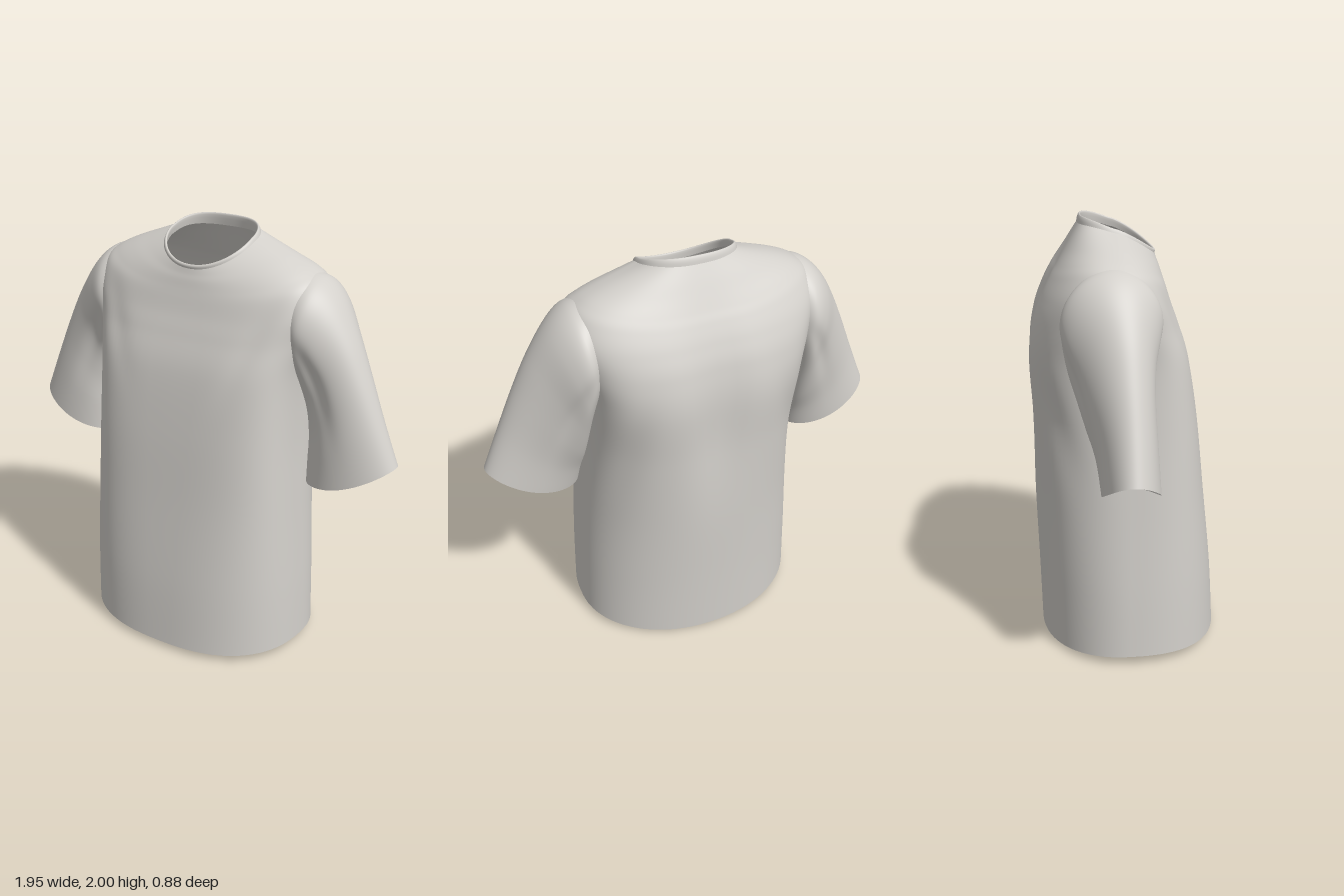
import * as THREE from 'three';

// Smooth interpolation through rows of cross-section numbers
function sampleRows(rows, steps) {
  const out = [];
  const last = rows.length - 1;
  for (let i = 0; i < last; i++) {
    const a = rows[Math.max(i - 1, 0)], b = rows[i], c = rows[i + 1], d = rows[Math.min(i + 2, last)];
    for (let k = 0; k < steps || (i === last - 1 && k === steps); k++) {
      const t = k / steps;
      out.push(b.map((_, j) => 0.5 * (2 * b[j] + (c[j] - a[j]) * t
        + (2 * a[j] - 5 * b[j] + 4 * c[j] - d[j]) * t * t
        + (3 * b[j] - a[j] - 3 * c[j] + d[j]) * t * t * t)));
    }
  }
  return out;
}

// Skin a stack of closed rings, leaving out faces that start inside a hole
function loft(rows, pointAt, { flip = false, isHole = () => false } = {}) {
  const columns = 96, pos = [], index = [];
  rows.forEach((row, j) => {
    for (let i = 0; i < columns; i++) {
      const point = pointAt(row, (i / columns) * Math.PI * 2, j / (rows.length - 1));
      pos.push(...point);
      if (j === rows.length - 1 || isHole(point)) continue;
      const p = j * columns + i, q = j * columns + (i + 1) % columns;
      const u = p + columns, v = q + columns;
      if (flip) index.push(p, q, u, q, v, u);
      else index.push(p, u, q, q, u, v);
    }
  });
  const geo = new THREE.BufferGeometry();
  geo.setAttribute('position', new THREE.Float32BufferAttribute(pos, 3));
  geo.setIndex(index);
  geo.computeVertexNormals();
  return geo;
}

const bump = (v, centre, width) => Math.exp(-(((v - centre) / width) ** 2));
const power = (v, e) => Math.sign(v) * Math.abs(v) ** e;

// Ring round the trunk: half width, side y, front y, front z, back y, back z, side z,
// squareness of the front and of the back
function trunkPoint([w, yS, yF, zF, yB, zB, zS, nF, nB], a) {
  const s = Math.sin(a), e = 2 / (s > 0 ? nF : nB);
  const x = w * power(Math.cos(a), e);
  const y = yS + ((yF - yB) / 2) * s + ((yF + yB) / 2 - yS) * s * s;
  const z = zS + power(s, e) * (s > 0 ? zF - zS : zS - zB);
  return [x, y, z];
}

function bodyPoint(row, a) {
  const p = trunkPoint(row, a);
  const [x, y] = p, s = Math.sin(a);
  if (s < 0) {
    // groove down the spine and slanting drape folds below the arms
    p[2] += 0.035 * bump(x, 0, 0.12) * bump(y, 1.35, 0.4);
    const slant = Math.abs(x) - 0.42 + (y - 1.1) * 0.25;
    p[2] += 0.025 * bump(slant, 0, 0.07) * bump(y, 1.05, 0.3) * -s;
  } else {
    // soft pull from the chest to the arm
    const slant = Math.abs(x) - 0.38 - (y - 1.6) * 0.4;
    p[2] -= 0.01 * bump(slant, 0, 0.06) * bump(y, 1.55, 0.2) * s;
  }
  return p;
}

// Opening in the body wall inside each sleeve
const isArmhole = ([x, y, z]) => Math.abs(x) > 0.4
  && ((y - 1.57) / 0.14) ** 2 + ((z + 0.06) / 0.13) ** 2 < 1;

// Sleeve ring: outer x, y, inner x, y, centre z, half depth, sag of the front and back,
// backward lean of the inner edge
function sleevePoint(side) {
  return ([ox, oy, ix, iy, cz, dz, sag, lean], a, t) => {
    const c = Math.cos(a), s = Math.sin(a);
    const m = (1 + c) / 2;
    // long folds running from the armpit to the cuff
    const fold = 0.015 * bump(c, -0.25 + t * 0.3, 0.22) * bump(t, 0.45, 0.25);
    return [
      side * (ix + (ox - ix) * m),
      iy + (oy - iy) * m - sag * s * s,
      cz - lean * (1 - m) + s * (dz - fold),
    ];
  };
}

export function createModel() {
  const group = new THREE.Group();
  const cloth = new THREE.MeshStandardMaterial({ color: 0xd3d0cb, side: THREE.DoubleSide });
  cloth.name = 'warm light grey cloth';
  const add = (name, geo) => {
    const mesh = new THREE.Mesh(geo, cloth);
    mesh.name = name;
    group.add(mesh);
  };

  // Body, from hem to neckline
  const body = [
    [0.557, 0.045, 0.03, 0.442, 0.004, -0.40, 0, 2.5, 2.1],
    [0.546, 0.35, 0.35, 0.42, 0.35, -0.41, 0, 2.7, 2.1],
    [0.523, 0.75, 0.75, 0.375, 0.75, -0.425, 0, 3.1, 2.2],
    [0.506, 1.1, 1.1, 0.335, 1.1, -0.435, -0.02, 3.6, 2.5],
    [0.508, 1.38, 1.38, 0.29, 1.38, -0.445, -0.05, 3.9, 2.9],
    [0.54, 1.55, 1.54, 0.24, 1.55, -0.42, -0.07, 3.6, 2.9],
    [0.572, 1.69, 1.63, 0.208, 1.66, -0.38, -0.07, 3.1, 2.7],
    [0.552, 1.79, 1.70, 0.187, 1.74, -0.34, -0.06, 2.7, 2.5],
    [0.50, 1.838, 1.74, 0.175, 1.79, -0.31, -0.06, 2.4, 2.4],
    [0.41, 1.878, 1.775, 0.165, 1.85, -0.275, -0.05, 2.2, 2.3],
    [0.31, 1.911, 1.80, 0.156, 1.91, -0.24, -0.04, 2.1, 2.4],
    [0.224, 1.935, 1.823, 0.149, 1.965, -0.207, -0.03, 2.1, 2.5],
  ];
  add('body', loft(sampleRows(body, 8), bodyPoint, { isHole: isArmhole }));

  // Neck band: outside face, rolled lip, inside face
  add('collar', loft(sampleRows([
    [0.224, 1.935, 1.823, 0.149, 1.965, -0.207, -0.03, 2.1, 2.5],
    [0.219, 1.946, 1.834, 0.151, 1.985, -0.203, -0.03, 2.1, 2.5],
    [0.213, 1.952, 1.842, 0.146, 2.0, -0.195, -0.03, 2.1, 2.5],
    [0.207, 1.945, 1.836, 0.139, 1.99, -0.189, -0.03, 2.1, 2.5],
    [0.212, 1.912, 1.805, 0.139, 1.945, -0.194, -0.03, 2.1, 2.5],
  ], 3), trunkPoint));

  // Sleeves, from armhole to cuff
  const sleeve = sampleRows([
    [0.47, 1.838, 0.455, 1.42, -0.07, 0.18, 0, 0],
    [0.56, 1.812, 0.475, 1.38, -0.075, 0.218, 0, 0.01],
    [0.645, 1.732, 0.495, 1.29, -0.067, 0.205, 0, 0.03],
    [0.735, 1.585, 0.51, 1.18, -0.042, 0.167, 0, 0.06],
    [0.815, 1.415, 0.523, 1.07, -0.027, 0.144, 0, 0.055],
    [0.895, 1.225, 0.534, 0.97, -0.017, 0.13, 0.015, 0.025],
    [0.974, 1.035, 0.543, 0.875, -0.014, 0.125, 0.035, 0],
  ], 7);
  for (const [side, name] of [[1, 'left'], [-1, 'right']]) {
    add(name + 'Sleeve', loft(sleeve, sleevePoint(side), { flip: side > 0 }));
  }
  return group;
}
